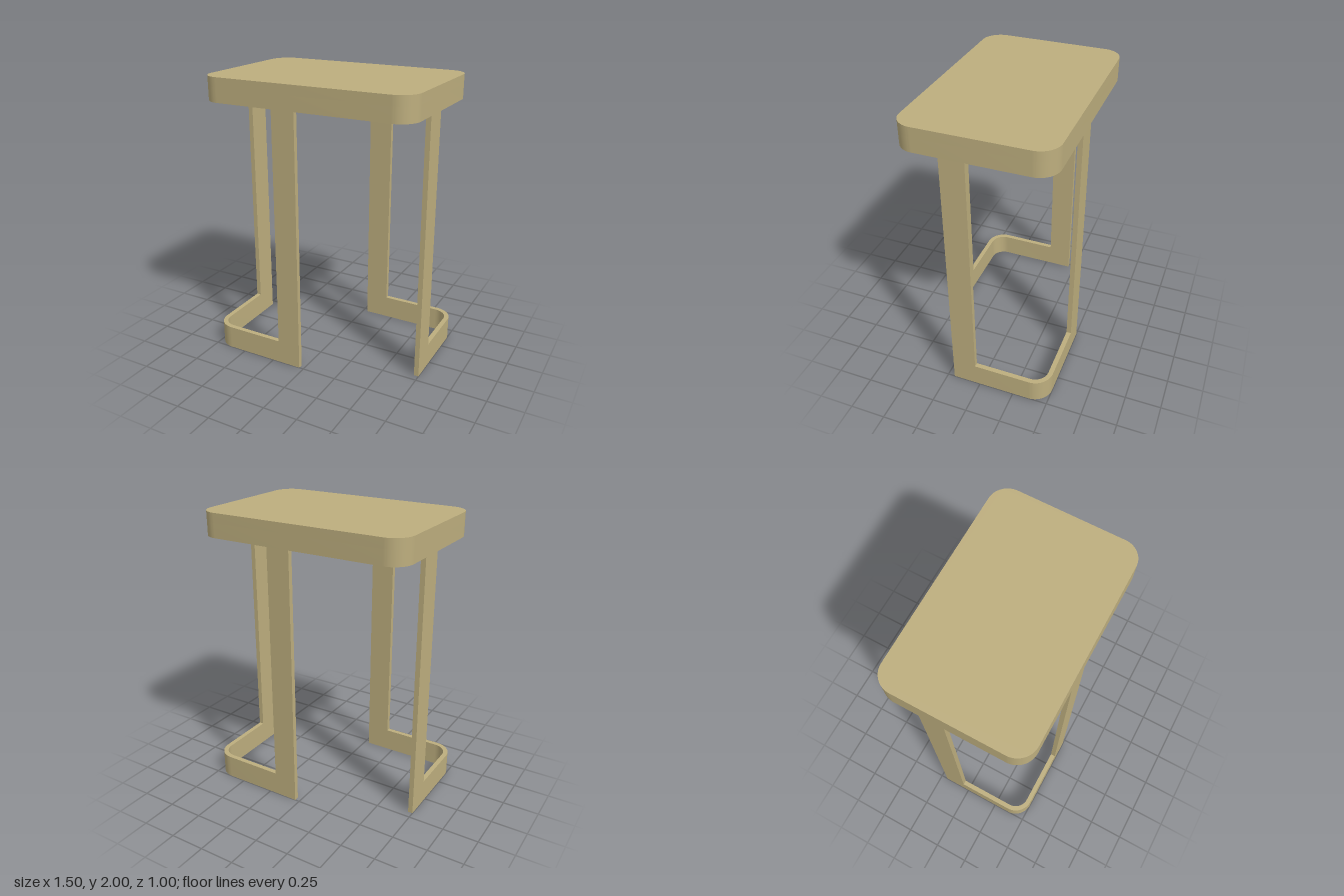
import * as THREE from 'three';
import { toCreasedNormals } from 'three/addons/utils/BufferGeometryUtils.js';

const W = 0.75, D = 0.5, H = 2;      // half width, half depth, height
const T = 0.0333, BAND = 0.1667, R = 0.1333; // sheet thickness, band height, corner radius
const TOP = 0.0667;                  // table top thickness
const LEG_IN = 0.0333, LEG_OUT = 0.2; // leg strip, measured from the centre line

// Rounded rectangle in plan, inset by a distance
function plan(PathType, inset) {
  const w = W - inset, d = D - inset, r = R - inset, q = Math.PI / 2;
  const p = new PathType();
  p.absarc(w - r, d - r, r, 0, q);
  p.absarc(-w + r, d - r, r, q, 2 * q);
  p.absarc(-w + r, -d + r, r, 2 * q, 3 * q);
  p.absarc(w - r, -d + r, r, 3 * q, 4 * q);
  p.closePath();
  return p;
}

// Extrude a plan shape (x, z) between two heights
function extrudePlan(shape, y0, y1) {
  const g = new THREE.ExtrudeGeometry(shape, { depth: y1 - y0, bevelEnabled: false, curveSegments: 14 });
  g.rotateX(Math.PI / 2).translate(0, y1, 0);
  return toCreasedNormals(g, 0.5);
}

export function createModel() {
  const model = new THREE.Group();
  model.name = 'sideTable';
  const paint = new THREE.MeshStandardMaterial({ color: 0xbdae7e });
  paint.name = 'khaki paint';
  const add = (parent, name, geometry) => {
    const mesh = new THREE.Mesh(geometry, paint);
    mesh.name = name;
    parent.add(mesh);
  };

  // Table top with a hollow apron below
  add(model, 'tableTop', extrudePlan(plan(THREE.Shape, 0), H - TOP, H));
  const rim = plan(THREE.Shape, 0);
  rim.holes.push(plan(THREE.Path, T));
  add(model, 'apron', extrudePlan(rim, H - BAND, H - TOP));

  // Foot band wrapping one corner, from the front leg to the side leg
  const foot = new THREE.Shape();
  const cx = -W + R, cz = D - R;
  foot.moveTo(-LEG_IN, D);
  foot.lineTo(cx, D);
  foot.absarc(cx, cz, R, Math.PI / 2, Math.PI, false);
  foot.lineTo(-W, -LEG_OUT);
  foot.lineTo(-W + T, -LEG_OUT);
  foot.lineTo(-W + T, cz);
  foot.absarc(cx, cz, R - T, Math.PI, Math.PI / 2, true);
  foot.lineTo(-LEG_IN, D - T);
  foot.closePath();
  const footGeometry = extrudePlan(foot, 0, BAND);

  // Flat leg strips between foot band and apron
  const legH = H - 2 * BAND, legW = LEG_OUT - LEG_IN, mid = (LEG_IN + LEG_OUT) / 2;
  const frontLeg = new THREE.BoxGeometry(legW, legH, T).translate(-mid, H / 2, D - T / 2);
  const sideLeg = new THREE.BoxGeometry(T, legH, legW).translate(-W + T / 2, H / 2, -mid);

  // Two identical frames, turned half a revolution from each other
  ['frontFrame', 'backFrame'].forEach((name, i) => {
    const frame = new THREE.Group();
    frame.name = name;
    add(frame, 'footBand', footGeometry);
    add(frame, 'wideSideLeg', frontLeg);
    add(frame, 'narrowSideLeg', sideLeg);
    frame.rotation.y = i * Math.PI;
    model.add(frame);
  });
  return model;
}
